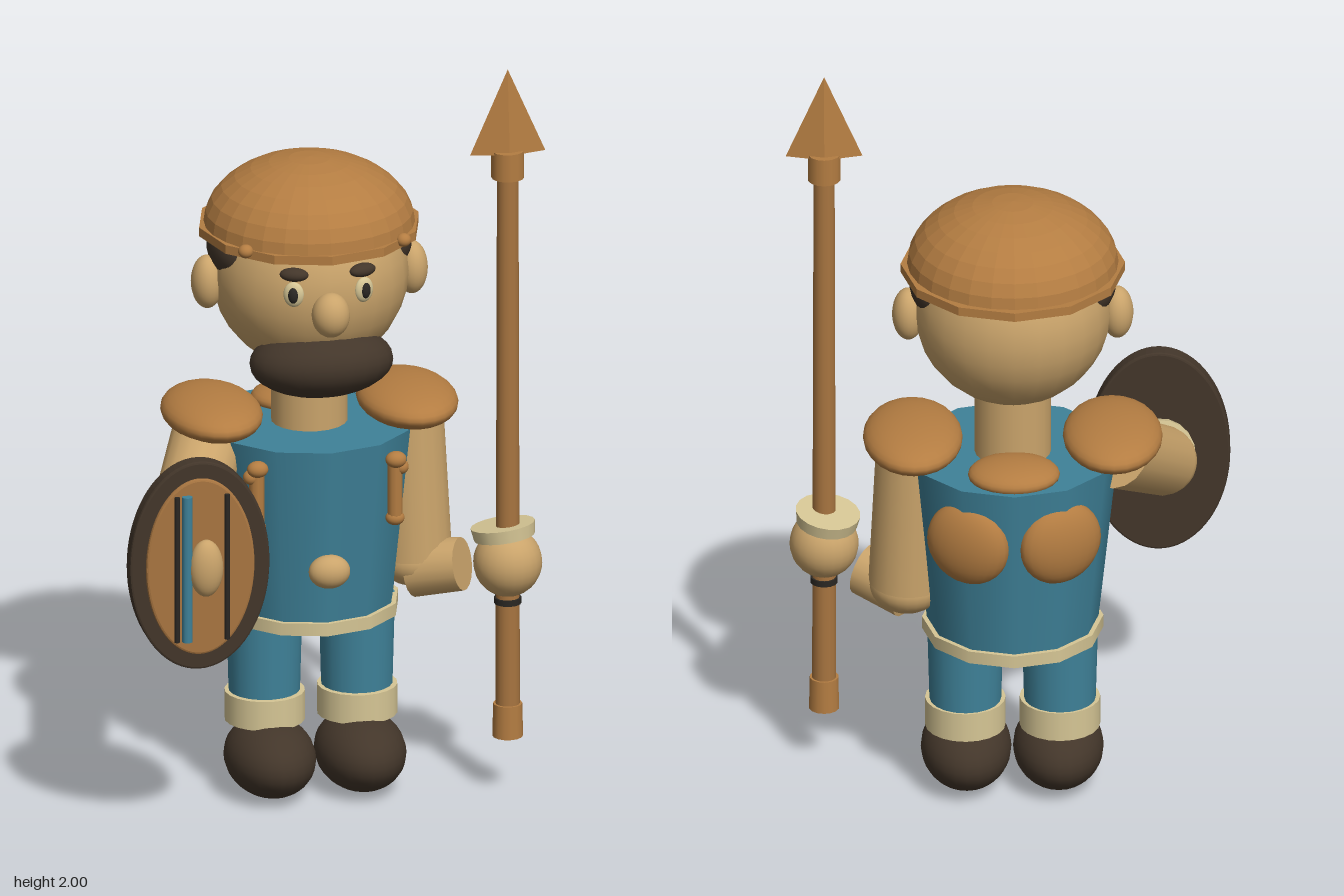
import * as THREE from 'three';

const mat = (name, color, flat = false) => {
  const m = new THREE.MeshStandardMaterial({ color, flatShading: flat });
  m.name = name;
  return m;
};
const V = (x, y, z) => new THREE.Vector3(x, y, z);

export function createModel() {
  const bronze = mat('bronze', 0xb47d42);
  const helmetBronze = mat('helmet bronze', 0xb47d42, true);
  const wood = mat('wood', 0xa87540);
  const skin = mat('skin', 0xcaa46b);
  const blue = mat('blue cloth', 0x3f8299);
  const dark = mat('dark brown', 0x43362a);
  const cream = mat('cream', 0xd6c695);
  const black = mat('black', 0x2a2723);

  const model = new THREE.Group();
  model.name = 'guard';
  // The whole figure is turned an eighth to its left
  const body = new THREE.Group();
  body.name = 'figure';
  body.position.set(-0.115, 0, -0.19);
  body.rotation.y = Math.PI / 4;
  model.add(body);

  const add = (name, geo, material, pos, parent = body) => {
    const m = new THREE.Mesh(geo, material);
    m.name = name;
    m.position.set(...pos);
    parent.add(m);
    return m;
  };
  const ball = (name, material, pos, size, parent = body) => {
    const m = add(name, new THREE.SphereGeometry(1, 24, 16), material, pos, parent);
    m.scale.set(...size);
    return m;
  };
  const tube = (name, material, pos, rTop, rBottom, h, seg = 20, parent = body) =>
    add(name, new THREE.CylinderGeometry(rTop, rBottom, h, seg), material, pos, parent);
  // Tapered cylinder between two points
  const limb = (name, material, a, b, rA, rB, seg = 18) => {
    const d = b.clone().sub(a);
    const mid = a.clone().add(b).multiplyScalar(0.5);
    const m = tube(name, material, mid.toArray(), rB, rA, d.length(), seg);
    m.quaternion.setFromUnitVectors(V(0, 1, 0), d.normalize());
    return m;
  };

  // Torso
  tube('tunic', blue, [0, 0.755, 0], 0.275, 0.222, 0.5, 12);
  tube('tunicHem', cream, [0, 0.503, 0], 0.236, 0.236, 0.034, 12);
  ball('bellyKnob', skin, [0, 0.67, 0.25], [0.055, 0.045, 0.04]);
  ball('backCollar', bronze, [0, 1.015, -0.16], [0.12, 0.04, 0.1]);
  tube('neck', skin, [0, 1.09, 0], 0.1, 0.1, 0.22);

  for (const s of [-1, 1]) {
    // Legs
    ball('shoe', dark, [s * 0.12, 0.107, 0.07], [0.118, 0.102, 0.172]);
    tube('sockCuff', cream, [s * 0.123, 0.235, 0.02], 0.105, 0.105, 0.08);
    tube('leg', blue, [s * 0.123, 0.37, 0.015], 0.1, 0.092, 0.3);
    // Shoulder pads, back plates and strap toggles
    ball('shoulderPad', bronze, [s * 0.26, 1.045, 0], [0.13, 0.056, 0.2]);
    const plate = ball('backPlate', bronze, [s * 0.12, 0.84, -0.21], [0.115, 0.115, 0.055]);
    plate.rotation.y = s * -0.45 + Math.PI;
    tube('strap', bronze, [s * 0.184, 0.865, 0.205], 0.02, 0.02, 0.16, 10);
    ball('strapKnob', bronze, [s * 0.184, 0.955, 0.218], [0.028, 0.022, 0.024]);
    ball('strapKnob', bronze, [s * 0.2, 0.93, 0.205], [0.02, 0.02, 0.02]);
    ball('strapTip', bronze, [s * 0.184, 0.79, 0.205], [0.025, 0.02, 0.022]);
    // Face and sides of the head
    ball('ear', skin, [s * 0.272, 1.405, 0], [0.042, 0.072, 0.05]);
    ball('sideHair', dark, [s * 0.2, 1.5, 0.0], [0.07, 0.085, 0.115]);
    const eye = new THREE.Group();
    eye.name = 'eye';
    eye.position.set(s * 0.092, 1.44, 0.238);
    eye.rotation.y = s * 0.35;
    body.add(eye);
    ball('eyeWhite', cream, [0, 0, 0.004], [0.027, 0.034, 0.014], eye);
    ball('pupil', black, [0, 0, 0.012], [0.014, 0.022, 0.012], eye);
    ball('eyebrow', dark, [0, 0.052, -0.003], [0.038, 0.018, 0.022], eye);
    ball('helmetRivet', bronze, [s * 0.21, 1.55, 0.19], [0.02, 0.018, 0.02]);
  }

  // Head
  ball('head', skin, [0, 1.42, 0.005], [0.258, 0.258, 0.258]);
  ball('nose', skin, [0, 1.385, 0.267], [0.05, 0.06, 0.05]);
  ball('beard', dark, [0, 1.218, 0.15], [0.19, 0.095, 0.14]).rotation.x = -0.15;

  // Helmet: dome closed underneath, with a faceted brim
  const dome = [];
  for (let i = 0; i <= 8; i++) {
    const a = (i / 8) * Math.PI / 2;
    dome.push(new THREE.Vector2(Math.cos(a) * 0.276, Math.sin(a) * 0.182));
  }
  dome.unshift(new THREE.Vector2(0, 0));
  dome[dome.length - 1].x = 0;
  add('helmetDome', new THREE.LatheGeometry(dome, 28), helmetBronze, [0, 1.548, 0]);
  tube('helmetBrim', helmetBronze, [0, 1.541, -0.005], 0.292, 0.292, 0.024, 12);

  // Left arm with a short bent forearm
  limb('leftUpperArm', skin, V(0.265, 1.03, 0), V(0.275, 0.62, 0.015), 0.09, 0.1);
  ball('leftElbow', skin, [0.275, 0.61, 0.015], [0.098, 0.075, 0.098]);
  limb('leftForearm', skin, V(0.27, 0.585, 0.03), V(0.385, 0.61, 0.1), 0.078, 0.07);

  // Right arm reaching forward to the shield
  limb('rightUpperArm', skin, V(-0.26, 1.0, 0.0), V(-0.395, 0.83, 0.27), 0.1, 0.092);
  ball('rightElbow', skin, [-0.395, 0.83, 0.27], [0.09, 0.09, 0.09]);
  limb('rightForearm', skin, V(-0.395, 0.83, 0.27), V(-0.39, 0.79, 0.4), 0.085, 0.07);
  limb('rightCuff', cream, V(-0.393, 0.81, 0.345), V(-0.391, 0.8, 0.375), 0.09, 0.09);
  ball('rightHand', skin, [-0.38, 0.77, 0.39], [0.07, 0.07, 0.04]);

  // Oval shield
  const shield = new THREE.Group();
  shield.name = 'shield';
  shield.position.set(-0.388, 0.787, 0.43);
  body.add(shield);
  const oval = (name, material, w, h, depth, z) => {
    const shape = new THREE.Shape().absellipse(0, 0, w, h, 0, Math.PI * 2);
    const geo = new THREE.ExtrudeGeometry(shape, {
      depth, curveSegments: 36, bevelEnabled: true, bevelThickness: 0.006, bevelSize: 0.006, bevelSegments: 2,
    });
    return add(name, geo, material, [0, 0, z], shield);
  };
  oval('shieldRim', dark, 0.18, 0.28, 0.036, -0.018);
  oval('shieldFace', wood, 0.138, 0.236, 0.006, 0.022);
  const bar = (name, material, x, r) => tube(name, material, [x, 0, 0.044], r, r, 0.4, 10, shield);
  bar('darkBar', black, -0.065, 0.007);
  bar('darkBar', black, 0.068, 0.007);
  bar('blueBar', blue, -0.038, 0.014);
  ball('shieldBoss', skin, [0.012, 0, 0.045], [0.045, 0.078, 0.035], shield);

  // Spear
  const spear = new THREE.Group();
  spear.name = 'spear';
  spear.position.set(0.487, 0, 0.19);
  body.add(spear);
  tube('shaft', wood, [0, 0.96, 0], 0.028, 0.032, 1.56, 14, spear);
  tube('buttCap', bronze, [0, 0.205, 0], 0.038, 0.04, 0.09, 14, spear);
  tube('collar', bronze, [0, 1.74, 0], 0.043, 0.043, 0.075, 14, spear);
  tube('gripRing', black, [0, 0.535, 0], 0.036, 0.036, 0.016, 14, spear);
  const tip = add('spearhead', new THREE.ConeGeometry(1, 0.23, 4), helmetBronze, [0, 1.885, 0], spear);
  tip.scale.set(0.1, 1, 0.026);

  // Hand gripping the spear, with a tilted cuff on top
  ball('spearHand', skin, [0, 0.64, 0], [0.09, 0.092, 0.09], spear);
  const cuff = tube('spearCuff', cream, [-0.008, 0.722, -0.014], 0.085, 0.08, 0.034, 18, spear);
  cuff.rotation.set(-0.12, 0, 0.12);

  return model;
}
